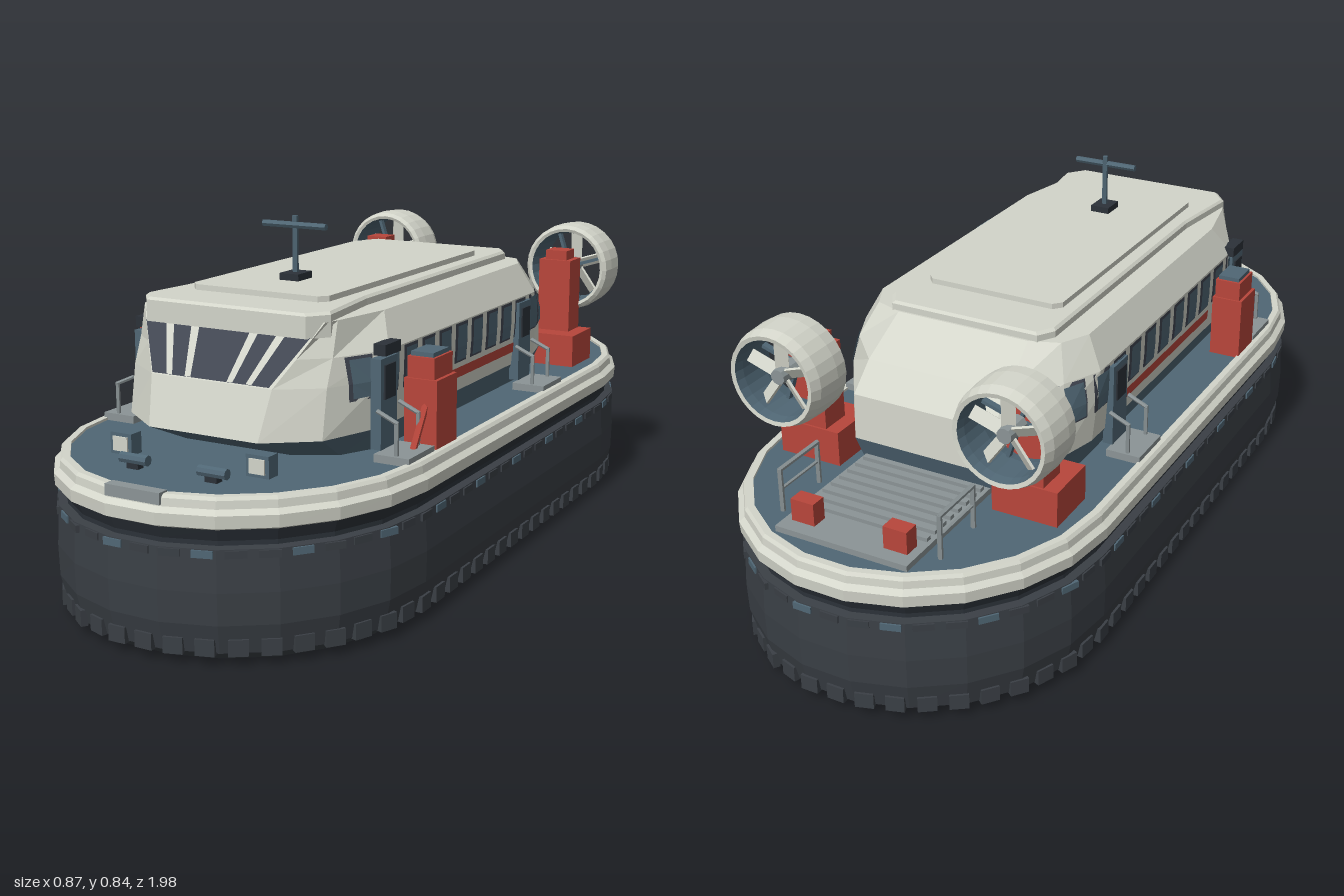
import * as THREE from 'three';

const mat = (name, color, extra = {}) => Object.assign(new THREE.MeshStandardMaterial({ color, flatShading: true, ...extra }), { name });
const M = {
  cream: mat('cream paint', 0xd3d5ca),
  slate: mat('slate deck', 0x506775),
  skirt: mat('rubber skirt', 0x3a3f45),
  under: mat('underside black', 0x15131a),
  red: mat('red paint', 0xb8463b),
  metal: mat('grey metal', 0x8b9496),
  glass: mat('dark glass', 0x424753, { side: THREE.DoubleSide }),
  dark: mat('dark fittings', 0x2c3239),
};

export function createModel() {
  const root = new THREE.Group();
  const add = (name, geo, m, x = 0, y = 0, z = 0, parent = root) => {
    const mesh = new THREE.Mesh(geo, m);
    mesh.name = name;
    mesh.position.set(x, y, z);
    parent.add(mesh);
    return mesh;
  };
  // box given by its extents
  const box = (name, m, x0, x1, y0, y1, z0, z1, parent = root) =>
    add(name, new THREE.BoxGeometry(Math.abs(x1 - x0), y1 - y0, Math.abs(z1 - z0)), m,
      (x0 + x1) / 2, (y0 + y1) / 2, (z0 + z1) / 2, parent);
  // thin round rail through points
  const rail = (name, m, r, pts, parent = root) => {
    const path = new THREE.CurvePath();
    const v = pts.map(p => new THREE.Vector3(...p));
    for (let i = 1; i < v.length; i++) {
      const a = v[i - 1], b = v[i], bar = add(name, new THREE.CylinderGeometry(r, r, a.distanceTo(b) + r, 6), m, 0, 0, 0, parent);
      bar.position.copy(a).lerp(b, 0.5);
      bar.quaternion.setFromUnitVectors(new THREE.Vector3(0, 1, 0), b.clone().sub(a).normalize());
    }
    return path;
  };
  const triangles = pos => {
    const g = new THREE.BufferGeometry();
    g.setAttribute('position', new THREE.Float32BufferAttribute(pos.flat(), 3));
    g.computeVertexNormals();
    return g;
  };
  // skin stacked horizontal rings, each a list of [x, y, z]
  const loft = (rings, bottom = false, top = false) => {
    const out = [], n = rings[0].length;
    for (let k = 0; k < rings.length - 1; k++) for (let i = 0; i < n; i++) {
      const j = (i + 1) % n, a = rings[k][i], b = rings[k][j], c = rings[k + 1][j], d = rings[k + 1][i];
      out.push(a, b, c, a, c, d);
    }
    const cap = (r, up) => {
      for (let i = 1; i < n - 1; i++) out.push(r[0], up ? r[i] : r[i + 1], up ? r[i + 1] : r[i]);
    };
    if (bottom) cap(rings[0], false);
    if (top) cap(rings[rings.length - 1], true);
    return triangles(out);
  };

  // ---- hull: rounded-end outline, offset o, at height y
  const outline = (o, y) => {
    const pts = [], N = 11;
    for (const end of [1, -1]) for (let i = 0; i <= N; i++) {
      const a = (i / N - 0.5) * Math.PI;
      pts.push([end * Math.sin(a) * (0.43 + o), y, end * (0.53 + Math.cos(a) * (0.46 + o))]);
    }
    return pts;
  };
  const hull = prof => prof.map(([o, y]) => outline(o, y));
  add('skirt', loft(hull([[-0.045, 0], [-0.012, 0.025], [0.003, 0.09], [0.005, 0.16], [0, 0.25], [-0.02, 0.252]])), M.skirt);
  add('underside', loft(hull([[-0.045, 0.0005], [-0.045, 0.001]]), true), M.under);
  add('skirtJoint', loft(hull([[-0.02, 0.25], [-0.02, 0.262], [-0.008, 0.291]])), M.dark);
  add('bumperRim', loft(hull([[-0.01, 0.288], [0.005, 0.295], [0.007, 0.322], [-0.006, 0.332], [-0.008, 0.349],
    [-0.014, 0.356], [-0.03, 0.356], [-0.03, 0.345]])), M.cream);
  add('deck', loft(hull([[-0.029, 0.345], [-0.029, 0.35]]), false, true), M.slate);

  // skirt fingers and fixing plates around the hull
  const shape = new THREE.Shape(outline(0, 0).map(p => new THREE.Vector2(p[0], p[2])));
  shape.closePath();
  const fingers = new THREE.Group();
  fingers.name = 'skirtFingers';
  root.add(fingers);
  const finger = new THREE.BoxGeometry(0.042, 0.036, 0.016), clip = new THREE.BoxGeometry(0.045, 0.016, 0.008);
  for (let i = 0; i < 72; i++) {
    const u = (i + 0.5) / 72, p = shape.getPoint(u), t = shape.getTangent(u), yaw = Math.atan2(-t.y, t.x);
    const f = add('skirtFinger', finger, M.skirt, p.x * 0.985, 0.04, p.y * 0.993, fingers);
    const c = add('fixingPlate', clip, i % 3 ? M.skirt : M.slate, p.x, 0.24, p.y, fingers);
    f.rotation.y = c.rotation.y = yaw;
  }

  // ---- cabin: half outlines from nose to tail at each height
  const levels = [
    [0.35, [[0.14, 0.6], [0.23, 0.55], [0.28, 0.45], [0.28, -0.35], [0.25, -0.45], [0.17, -0.56]]],
    [0.41, [[0.14, 0.735], [0.25, 0.655], [0.305, 0.5], [0.305, -0.34], [0.28, -0.44], [0.18, -0.58]]],
    [0.52, [[0.155, 0.7], [0.25, 0.635], [0.313, 0.5], [0.313, -0.33], [0.28, -0.43], [0.18, -0.575]]],
    [0.58, [[0.191, 0.661], [0.25, 0.61], [0.314, 0.48], [0.314, -0.32], [0.27, -0.415], [0.18, -0.51]]],
    [0.655, [[0.234, 0.613], [0.245, 0.58], [0.275, 0.43], [0.275, -0.3], [0.24, -0.37], [0.17, -0.395]]],
  ];
  const ring = ([y, half]) => [...half.map(([x, z]) => [x, y, z]), ...half.map(([x, z]) => [-x, y, z]).reverse()];
  add('cabinBase', loft(levels.slice(0, 2).map(ring)), M.slate);
  add('cabin', loft(levels.slice(1).map(ring), false, true), M.cream);
  const roof = (y, s) => ring([y, [[0.205 - s, 0.645 - s], [0.24 - s, 0.6 - s], [0.215 - s, 0.4], [0.215 - s, -0.35 + s], [0.19 - s, -0.39 + s]]]);
  add('roofSlab', loft([roof(0.622, 0), roof(0.67, 0), roof(0.676, 0.006)], true, true), M.cream);
  const panel = y => ring([y, [[0.16, 0.52], [0.178, 0.5], [0.178, -0.24], [0.16, -0.26]]]);
  add('roofPanel', loft([panel(0.67), panel(0.689)], false, true), M.cream);

  // cabin wall x at a given height and z
  const wallX = (y, z) => {
    const k = y < 0.52 ? 1 : 2, [y0, a] = levels[k], [y1, b] = levels[k + 1], t = (y - y0) / (y1 - y0);
    const p = a.map((q, i) => [q[0] + (b[i][0] - q[0]) * t, q[1] + (b[i][1] - q[1]) * t]);
    const i = Math.max(1, p.findIndex(q => q[1] <= z)), f = (p[i - 1][1] - z) / (p[i - 1][1] - p[i][1]);
    return p[i - 1][0] + (p[i][0] - p[i - 1][0]) * f;
  };
  const slateGlass = M.slate.clone();
  slateGlass.name = 'side glass';
  slateGlass.side = THREE.DoubleSide;
  const redLine = M.red.clone();
  redLine.name = 'red stripe';
  redLine.side = THREE.DoubleSide;
  const wallPlate = (name, m, s, y0, y1, z0, z1, lift) => {
    const q = (y, z) => [s * (wallX(y, z) + lift), y, z];
    const ym = Math.min(y1, Math.max(y0, 0.52)), out = [];
    for (const [l, h] of [[y0, ym], [ym, y1]]) if (h > l)
      out.push(q(l, z0), q(l, z1), q(h, z1), q(l, z0), q(h, z1), q(h, z0));
    add(name, triangles(out), m);
  };

  for (const s of [1, -1]) {
    // side windows with dark frames, and the red stripe
    for (let i = 0; i < 12; i++) {
      const z = 0.555 - i * 0.0865;
      wallPlate('windowFrame', M.glass, s, 0.482, 0.578, z - 0.032, z + 0.032, 0.003);
      wallPlate('sideWindow', slateGlass, s, 0.488, 0.572, z - 0.025, z + 0.025, 0.006);
    }
    wallPlate('sideStripe', redLine, s, 0.445, 0.47, 0.33, -0.19, 0.005);

    // side doors, landings and handrails
    for (const z of [0.5, -0.235]) {
      box('sideDoor', M.slate, s * 0.3, s * 0.325, 0.37, 0.57, z - 0.037, z + 0.037);
      box('doorWindow', M.dark, s * 0.324, s * 0.329, 0.48, 0.555, z - 0.024, z + 0.024);
      box('landing', M.metal, s * 0.32, s * 0.405, 0.35, 0.368, z - 0.06, z + 0.06);
      for (const dz of [-0.05, 0.05])
        rail('doorRail', M.metal, 0.005, [[s * 0.325, 0.46, z + dz], [s * 0.37, 0.44, z + dz], [s * 0.37, 0.36, z + dz]]);
    }
    box('doorCanopy', M.dark, s * 0.3, s * 0.33, 0.575, 0.6, 0.455, 0.525);

    // forward red intake towers
    box('intakeTower', M.red, s * 0.325, s * 0.405, 0.35, 0.51, 0.33, 0.43);
    box('intakeTop', M.red, s * 0.33, s * 0.396, 0.51, 0.558, 0.335, 0.425);
    box('intakeGrille', M.slate, s * 0.335, s * 0.39, 0.558, 0.568, 0.342, 0.418);
    rail('towerBrace', M.red, 0.008, [[s * 0.375, 0.36, 0.485], [s * 0.375, 0.45, 0.425]]);

    // rear engine housing and pylon
    box('engineBase', M.red, s * 0.2, s * 0.36, 0.35, 0.435, -0.62, -0.485);
    box('enginePylon', M.red, s * 0.235, s * 0.325, 0.435, 0.63, -0.615, -0.54);
    box('pylonCap', M.red, s * 0.25, s * 0.31, 0.63, 0.655, -0.605, -0.55);

    // ducted fan
    const fan = new THREE.Group();
    fan.name = 'ductedFan';
    fan.position.set(s * 0.284, 0.599, -0.672);
    root.add(fan);
    const V = (r, z) => new THREE.Vector2(r, z);
    const duct = add('fanDuct', new THREE.LatheGeometry([V(0.098, -0.063), V(0.108, -0.065), V(0.117, -0.04), V(0.12, 0.02), V(0.117, 0.055), V(0.108, 0.063), V(0.1, 0.06)], 28), M.cream, 0, 0, 0, fan);
    const lining = add('ductLining', new THREE.LatheGeometry([V(0.1, 0.06), V(0.094, 0.03), V(0.094, -0.04), V(0.098, -0.063)], 28), M.slate, 0, 0, 0, fan);
    duct.rotation.x = lining.rotation.x = Math.PI / 2;
    add('fanHub', new THREE.CylinderGeometry(0.018, 0.024, 0.06, 10), M.metal, 0, 0, -0.01, fan).rotation.x = -Math.PI / 2;
    for (let i = 0; i < 5; i++) {
      const arm = new THREE.Group();
      arm.name = 'fanBlade';
      arm.rotation.z = i * Math.PI * 0.4;
      fan.add(arm);
      add('blade', new THREE.BoxGeometry(0.03, 0.074, 0.006), M.cream, 0, 0.053, -0.02, arm).rotation.y = 0.6;
      if (i < 4) {
        const strut = new THREE.Group();
        strut.rotation.z = (i + 0.2) * Math.PI / 2;
        fan.add(strut);
        box('stator', M.slate, -0.004, 0.004, 0.01, 0.097, 0.025, 0.04, strut);
      }
    }

    // stern rails and lockers
    rail('sternRail', M.metal, 0.006, [[s * 0.2, 0.35, -0.7], [s * 0.2, 0.452, -0.7], [s * 0.2, 0.452, -0.835], [s * 0.2, 0.35, -0.835]]);
    rail('sternMidRail', M.metal, 0.004, [[s * 0.2, 0.405, -0.7], [s * 0.2, 0.405, -0.835]]);
    box('sternLocker', M.red, s * 0.087, s * 0.145, 0.365, 0.418, -0.876, -0.838);

    // bow lamps and mooring bollards
    box('bowLamp', M.slate, s * 0.147, s * 0.203, 0.356, 0.404, 0.755, 0.79);
    box('lampLens', M.cream, s * 0.156, s * 0.194, 0.364, 0.396, 0.789, 0.794);
    box('bollardFoot', M.dark, s * 0.085, s * 0.115, 0.35, 0.362, 0.83, 0.85);
    add('bollard', new THREE.CylinderGeometry(0.012, 0.012, 0.07, 8), M.slate, s * 0.1, 0.37, 0.84).rotation.z = Math.PI / 2;
  }

  // stern gangway with treads
  box('gangway', M.metal, -0.165, 0.165, 0.35, 0.364, -0.91, -0.56);
  for (let i = 0; i < 8; i++) box('gangwayTread', M.metal, -0.155, 0.155, 0.364, 0.373, -0.815 + i * 0.032, -0.8 + i * 0.032);
  // bow ramp plate
  box('bowPlate', M.metal, -0.068, 0.068, 0.335, 0.36, 0.955, 0.982);

  // windscreen: panes and mullions on the sloping front face
  const front = (u, t, lift) => [u * (0.15 + 0.062 * t), 0.522 + 0.1 * t + lift * 0.5, 0.7 - 0.066 * t + lift];
  const screen = (name, m, u0, u1, lift) => {
    const a = front(u0, 0, lift), b = front(u1, 0, lift), c = front(u1, 1, lift), d = front(u0, 1, lift);
    add(name, triangles([a, b, c, a, c, d]), m);
  };
  screen('windscreen', M.glass, -1, 1, 0.004);
  for (const u of [-0.68, -0.36, 0.36, 0.68]) screen('mullion', M.cream, u - 0.05, u + 0.05, 0.008);

  // radar mast
  box('mastFoot', M.dark, -0.025, 0.025, 0.685, 0.705, 0.32, 0.38);
  rail('mast', M.slate, 0.007, [[0, 0.7, 0.35], [0, 0.832, 0.35]]);
  rail('radarBar', M.slate, 0.008, [[-0.08, 0.814, 0.353], [0.08, 0.814, 0.353]]);
  return root;
}
